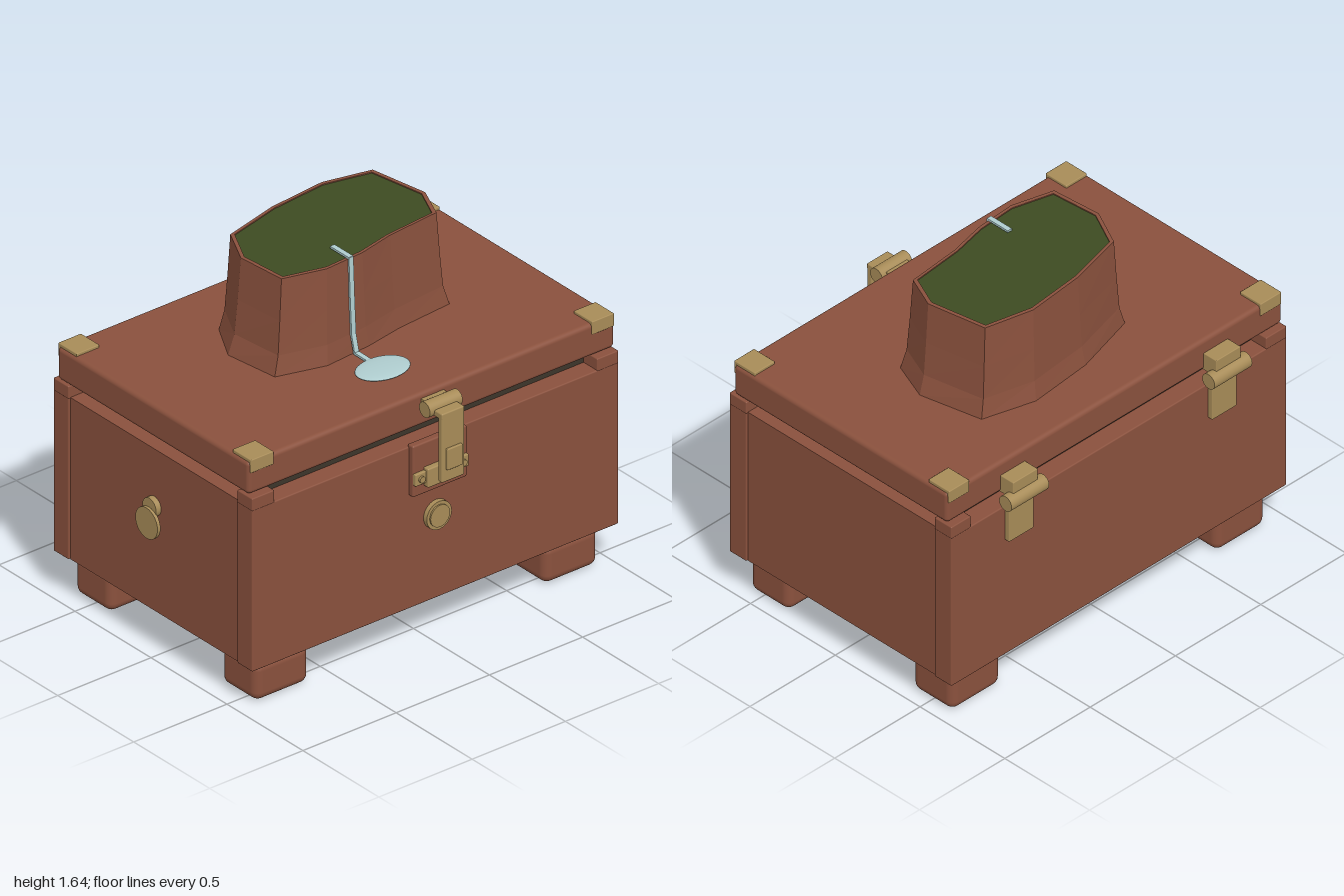
import * as THREE from 'three';
import { RoundedBoxGeometry } from 'three/addons/geometries/RoundedBoxGeometry.js';

const mat = (name, color, extra = {}) => {
  const m = new THREE.MeshStandardMaterial({ color, ...extra });
  m.name = name;
  return m;
};

export function createModel() {
  const root = new THREE.Group();
  root.name = 'chest';
  const wood = mat('brown wood', 0x8a513d);
  const stumpWood = mat('brown facets', 0x8a513d, { flatShading: true });
  const brass = mat('brass', 0xa88c58);
  const dark = mat('dark lining', 0x3d352b);
  const green = mat('moss green', 0x3d4b22);
  const pale = mat('pale blue', 0xafcdcf, { side: THREE.DoubleSide });

  const add = (name, geo, material, parent = root) => {
    const m = new THREE.Mesh(geo, material);
    m.name = name;
    parent.add(m);
    return m;
  };
  // Box given by its limits on each axis; r rounds the edges
  const box = (name, material, x0, x1, y0, y1, z0, z1, r = 0, parent = root) => {
    const s = [x1 - x0, y1 - y0, z1 - z0];
    const geo = r ? new RoundedBoxGeometry(...s, 3, r) : new THREE.BoxGeometry(...s);
    const m = add(name, geo, material, parent);
    m.position.set((x0 + x1) / 2, (y0 + y1) / 2, (z0 + z1) / 2);
    return m;
  };
  // Cylinder along the x or z axis
  const rod = (name, material, axis, r, len, x, y, z, parent = root) => {
    const geo = new THREE.CylinderGeometry(r, r, len, 28);
    if (axis === 'x') geo.rotateZ(Math.PI / 2);
    else geo.rotateX(Math.PI / 2);
    const m = add(name, geo, material, parent);
    m.position.set(x, y, z);
    return m;
  };

  // Body panels, plinth and lining
  box('frontPanel', wood, -0.97, 0.995, 0.2, 0.975, 0.53, 0.63, 0.006);
  box('backPanel', wood, -0.97, 0.995, 0.2, 0.975, -0.68, -0.58, 0.006);
  box('sidePanels', wood, -0.96, 0.985, 0.2, 0.975, -0.58, 0.53);
  box('plinth', wood, -0.885, 0.91, 0.168, 0.2, -0.58, 0.53);
  box('lining', dark, -0.88, 0.905, 0.9, 1.034, -0.59, 0.54);

  // Corner posts and feet
  for (const [x0, x1] of [[-0.97, -0.85], [0.88, 0.995]])
    for (const [z0, z1] of [[0.53, 0.63], [-0.68, -0.58]])
      box('cornerPost', wood, x0, x1, 0.97, 1.03, z0, z1, 0.005);
  for (const [x0, x1] of [[-0.905, -0.615], [0.645, 0.935]])
    for (const [z0, z1] of [[0.34, 0.575], [-0.625, -0.385]])
      box('foot', wood, x0, x1, 0, 0.182, z0, z1, 0.04);

  // Lid with folded brass corners
  box('lid', wood, -0.97, 0.995, 1.035, 1.19, -0.655, 0.605, 0.02);
  for (const [x0, x1] of [[-0.96, -0.838], [0.87, 0.987]])
    for (const s of [1, -1]) {
      const edge = s > 0 ? 0.61 : -0.66;
      const a = Math.min(edge, edge - s * 0.123), b = Math.max(edge, edge - s * 0.123);
      box('cornerTop', brass, x0, x1, 1.185, 1.203, a, b, 0.004);
      const c = edge - s * 0.014;
      box('cornerFace', brass, x0, x1, 1.14, 1.2, Math.min(edge, c), Math.max(edge, c), 0.004);
    }

  // Raised faceted neck: outlines at base and top, blended by height
  const base = [[-0.465, -0.15], [-0.36, -0.34], [-0.04, -0.43], [0.28, -0.46], [0.53, -0.39], [0.595, -0.09],
    [0.52, 0.1], [0.23, 0.125], [0.04, 0.16], [-0.2, 0.18], [-0.43, 0.115]];
  const top = [[-0.4, -0.145], [-0.31, -0.325], [-0.03, -0.395], [0.26, -0.423], [0.49, -0.37], [0.54, -0.085],
    [0.47, 0.075], [0.2, 0.1], [0.02, 0.14], [-0.18, 0.152], [-0.38, 0.098]];
  const inner = top.map(([x, z]) => [0.07 + (x - 0.07) * 0.962, -0.13 + (z + 0.13) * 0.945]);
  const mix = t => base.map((p, i) => p.map((v, k) => v + (top[i][k] - v) * t));
  const rings = [[base, 1.188], [mix(0.5), 1.28], [mix(0.75), 1.44], [top, 1.635], [inner, 1.635], [inner, 1.6]];
  const pos = [], idx = [], n = base.length;
  rings.forEach(([pts, y]) => pts.forEach(([x, z]) => pos.push(x, y, z)));
  for (let r = 0; r < rings.length - 1; r++)
    for (let i = 0; i < n; i++) {
      const a = r * n + i, b = r * n + (i + 1) % n;
      idx.push(a, a + n, b, b, a + n, b + n);
    }
  const neck = new THREE.BufferGeometry();
  neck.setAttribute('position', new THREE.Float32BufferAttribute(pos, 3));
  neck.setIndex(idx);
  // Orientation follows the outline direction, so faces point outward
  for (let i = 0; i < idx.length; i += 3) [idx[i + 1], idx[i + 2]] = [idx[i + 2], idx[i + 1]];
  neck.setIndex(idx);
  neck.computeVertexNormals();
  const signedArea = base.reduce((s, [x, z], i) => {
    const [u, v] = base[(i + 1) % n];
    return s + x * v - u * z;
  }, 0);
  if (signedArea > 0) {
    for (let i = 0; i < idx.length; i += 3) [idx[i + 1], idx[i + 2]] = [idx[i + 2], idx[i + 1]];
    neck.setIndex(idx);
    neck.computeVertexNormals();
  }
  add('neck', neck, stumpWood);
  const fill = new THREE.ShapeGeometry(new THREE.Shape(inner.map(([x, z]) => new THREE.Vector2(x, -z))));
  fill.rotateX(-Math.PI / 2);
  add('neckFill', fill, green).position.y = 1.63;

  // Trickle over the rim and its puddle
  const path = [[1.64, 0.03], [1.64, 0.147], [1.44, 0.156], [1.28, 0.165], [1.2, 0.185], [1.198, 0.3]];
  for (let i = 0; i < path.length - 1; i++) {
    const [y0, z0] = path[i], [y1, z1] = path[i + 1];
    const len = Math.hypot(y1 - y0, z1 - z0);
    const seg = add('trickle', new THREE.BoxGeometry(0.024, 0.01, len + 0.006), pale);
    seg.position.set(-0.05, (y0 + y1) / 2, (z0 + z1) / 2);
    seg.rotation.x = -Math.atan2(y1 - y0, z1 - z0);
  }
  const puddle = add('puddle', new THREE.SphereGeometry(1, 32, 12), pale);
  puddle.scale.set(0.13, 0.012, 0.093);
  puddle.position.set(-0.05, 1.203, 0.358);

  // Front latch
  const latch = new THREE.Group();
  latch.name = 'latch';
  root.add(latch);
  box('latchBacking', wood, -0.13, 0.16, 0.742, 0.987, 0.62, 0.657, 0.008, latch);
  box('latchBase', brass, -0.128, 0.158, 0.8, 0.857, 0.65, 0.672, 0.005, latch);
  box('latchCatch', brass, -0.072, 0.102, 0.78, 0.87, 0.65, 0.685, 0.006, latch);
  for (const x of [-0.097, 0.127]) rod('screw', brass, 'z', 0.015, 0.02, x, 0.828, 0.672, latch);
  box('latchArm', brass, -0.046, 0.076, 0.82, 1.15, 0.715, 0.745, 0.008, latch);
  box('latchButton', brass, -0.026, 0.056, 0.88, 0.98, 0.74, 0.757, 0.004, latch);
  box('latchLink', brass, -0.046, 0.076, 1.12, 1.15, 0.65, 0.745, 0.006, latch);
  rod('latchRoller', brass, 'x', 0.036, 0.175, 0.017, 1.145, 0.66, latch);
  box('latchMount', brass, -0.046, 0.076, 1.12, 1.165, 0.6, 0.65, 0, latch);

  // Round lock below the latch
  rod('lockRing', brass, 'z', 0.067, 0.03, 0.015, 0.605, 0.637);
  rod('lockFace', brass, 'z', 0.052, 0.03, 0.015, 0.605, 0.644);

  // Rear hinges
  for (const x of [-0.58, 0.61]) {
    box('hingeBlock', brass, x - 0.072, x + 0.072, 1.035, 1.122, -0.73, -0.645, 0.004);
    rod('hingePin', brass, 'x', 0.037, 0.22, x, 1.03, -0.722);
    box('hingeLeaf', brass, x - 0.072, x + 0.072, 0.8, 1.02, -0.706, -0.67, 0.004);
  }

  // Swinging keyhole cover on the side
  rod('coverPivot', brass, 'x', 0.045, 0.03, -0.972, 0.703, -0.027);
  rod('coverDisc', brass, 'x', 0.073, 0.016, -0.992, 0.632, -0.03);

  return root;
}
